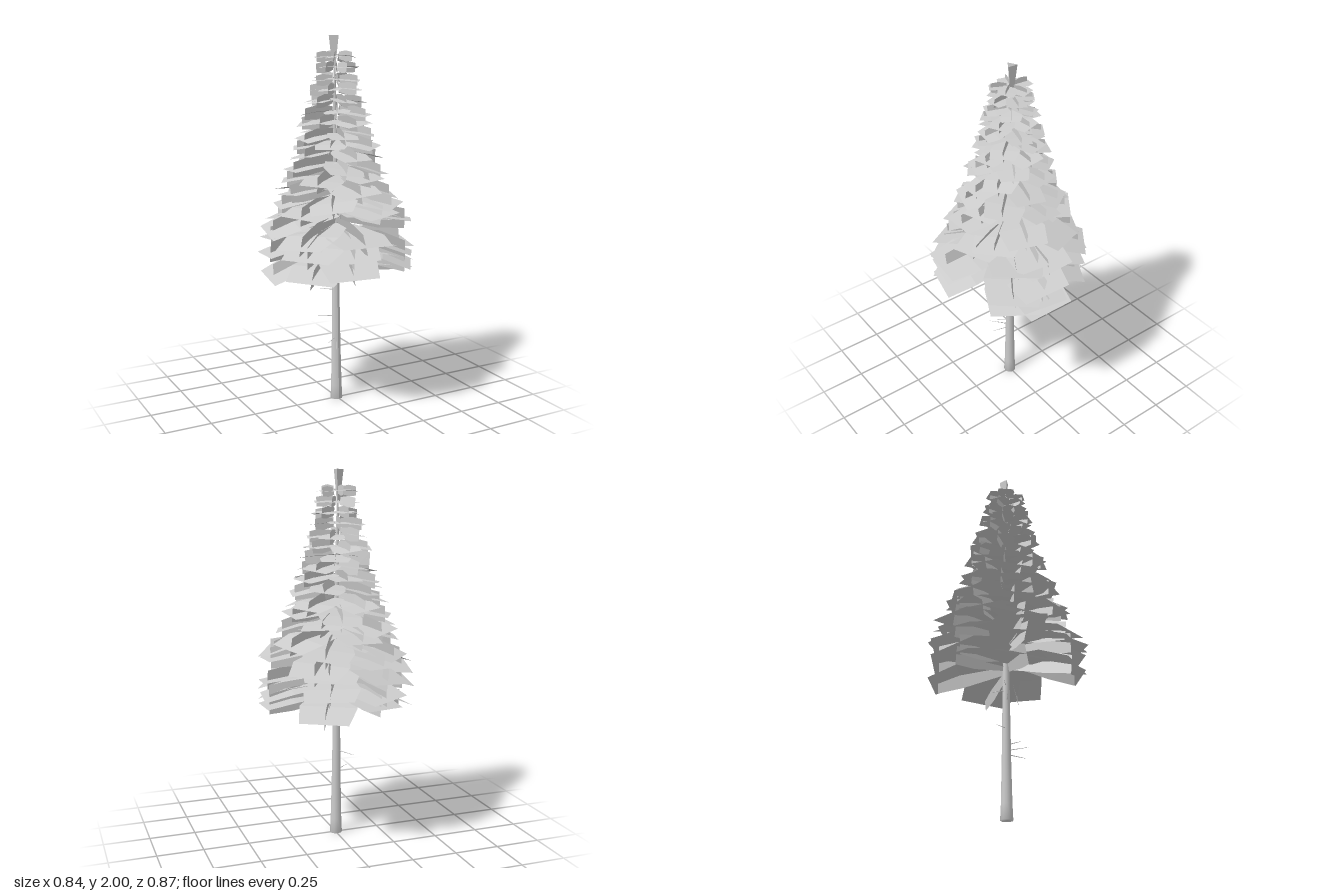
import * as THREE from 'three';

const bark = new THREE.MeshStandardMaterial({ color: 0xcccccc, side: THREE.DoubleSide });
bark.name = 'bark grey';
const needles = new THREE.MeshStandardMaterial({ color: 0xcccccc, side: THREE.DoubleSide, flatShading: true });
needles.name = 'needle grey';

// small seeded generator, values between a and b
let seed = 7;
function rand(a, b) {
  seed = (seed * 16807) % 2147483647;
  return a + (b - a) * (seed / 2147483647);
}

// crown radius at the height where a branch leaves the trunk
const crown = [[0.8, 0.41], [0.88, 0.435], [1.0, 0.435], [1.06, 0.41], [1.12, 0.37], [1.2, 0.345],
  [1.3, 0.295], [1.4, 0.26], [1.5, 0.225], [1.6, 0.19], [1.7, 0.16], [1.8, 0.13], [1.9, 0.11]];
function crownRadius(y) {
  for (let i = 1; i < crown.length; i++) {
    const [y0, r0] = crown[i - 1], [y1, r1] = crown[i];
    if (y <= y1) return r0 + (r1 - r0) * (y - y0) / (y1 - y0);
  }
  return 0.11;
}

// flat foliage card along +x: stations of [distance, height, half width], rolled about its length
function cardGeometry(stations, roll) {
  const pos = [], index = [];
  stations.forEach(([d, h, w], i) => {
    for (const s of [1, -1]) pos.push(d, h + s * w * Math.sin(roll), s * w * Math.cos(roll));
    if (i) {
      const a = 2 * i - 2;
      index.push(a, a + 2, a + 1, a + 1, a + 2, a + 3);
    }
  });
  const g = new THREE.BufferGeometry();
  g.setAttribute('position', new THREE.Float32BufferAttribute(pos, 3));
  g.setIndex(index);
  // the upper side is the front
  const flat = g.toNonIndexed();
  flat.computeVertexNormals();
  return flat;
}

// one branch: a wide card crossed by a tall upright one
function makeBranch(R, droop) {
  const branch = new THREE.Group();
  branch.name = 'branch';
  const w = R * 0.31 + 0.01;
  const midY = -droop * 0.4;
  const wide = new THREE.Mesh(cardGeometry(
    [[0.015, 0, w * 0.65], [R * 0.6, midY, w * 1.1], [R * 0.96, -droop, w * 0.92]],
    rand(-0.14, 0.14)), needles);
  wide.name = 'foliageCard';
  const v = R * 0.135 + 0.014;
  const upright = new THREE.Mesh(cardGeometry(
    [[0.02, 0, v * 0.65], [R * 0.55, midY, v], [R * 0.88, -droop * 0.85, v * 0.8]],
    Math.PI / 2 + rand(-0.25, 0.25)), needles);
  upright.name = 'uprightFoliageCard';
  branch.add(wide, upright);
  return branch;
}

// thin tapering stick from a to b
function makeTwig(a, b) {
  const dir = b.clone().sub(a);
  const twig = new THREE.Mesh(new THREE.CylinderGeometry(0.0008, 0.003, dir.length(), 4), bark);
  twig.position.copy(a).addScaledVector(dir, 0.5);
  twig.quaternion.setFromUnitVectors(new THREE.Vector3(0, 1, 0), dir.normalize());
  twig.name = 'twig';
  return twig;
}

export function createModel() {
  seed = 7;
  const tree = new THREE.Group();
  tree.name = 'conifer';

  // trunk, flared at the foot and leaning slightly
  const profile = [[0, 0], [0.034, 0], [0.03, 0.08], [0.025, 0.3], [0.02, 0.65],
    [0.017, 1], [0.012, 1.4], [0.006, 1.8], [0.004, 1.88]];
  const trunkGeo = new THREE.LatheGeometry(profile.map(([x, y]) => new THREE.Vector2(x, y)), 10);
  const p = trunkGeo.attributes.position;
  for (let i = 0; i < p.count; i++) {
    const t = p.getY(i) / 2;
    p.setX(i, p.getX(i) - 0.003 - 0.006 * t);
    p.setZ(i, p.getZ(i) - 0.012 * t);
  }
  trunkGeo.computeVertexNormals();
  const trunk = new THREE.Mesh(trunkGeo, bark);
  trunk.name = 'trunk';
  tree.add(trunk);

  // leader shoot, an open three-sided funnel
  const leader = new THREE.Mesh(new THREE.CylinderGeometry(0.03, 0.01, 0.16, 3, 1, true), needles);
  leader.position.set(-0.01, 1.92, -0.015);
  leader.rotation.y = 0.5;
  leader.name = 'leaderShoot';
  tree.add(leader);

  // tiers of branches, drooping below and level towards the top
  const tiers = 20;
  const count = 5;
  // directions shared by the big lower branches, in degrees
  const lowAngles = [-4, 60, 118, 173, 216, 258, 322];
  const foliage = new THREE.Group();
  foliage.name = 'crown';
  for (let t = 0; t < tiers; t++) {
    const up = t / (tiers - 1);
    const sag = 1 - up;
    const y = 0.83 + 1.06 * up;
    for (let i = 0; i < count; i++) {
      const by = y + rand(-0.02, 0.02) * (1 - 0.7 * up);
      const R = crownRadius(by) * rand(0.94, 1.02);
      const droop = R * rand(0.02 + 0.06 * sag, 0.07 + 0.2 * sag);
      const branch = makeBranch(R, droop);
      branch.position.set(-0.005 * up, by, -0.008 * up);
      const turn = t < 5
        ? lowAngles[(t * count + i) % lowAngles.length]
        : (i + t * 0.382) * 360 / count;
      branch.rotation.y = THREE.MathUtils.degToRad(turn + rand(-7, 7));
      foliage.add(branch);
    }
  }
  tree.add(foliage);

  // dead twigs on the bare trunk: start height, tip x, y, z
  const twigs = [[0.7, -0.04, 0.73, -0.03], [0.69, -0.03, 0.655, -0.095], [0.63, -0.09, 0.64, -0.03],
    [0.48, -0.075, 0.465, -0.085], [0.39, -0.03, 0.41, 0.07], [0.36, -0.095, 0.36, 0.08],
    [0.34, -0.05, 0.315, 0.085]];
  for (const [y, tx, ty, tz] of twigs) {
    tree.add(makeTwig(new THREE.Vector3(-0.004, y, 0), new THREE.Vector3(tx, ty, tz)));
  }
  return tree;
}
